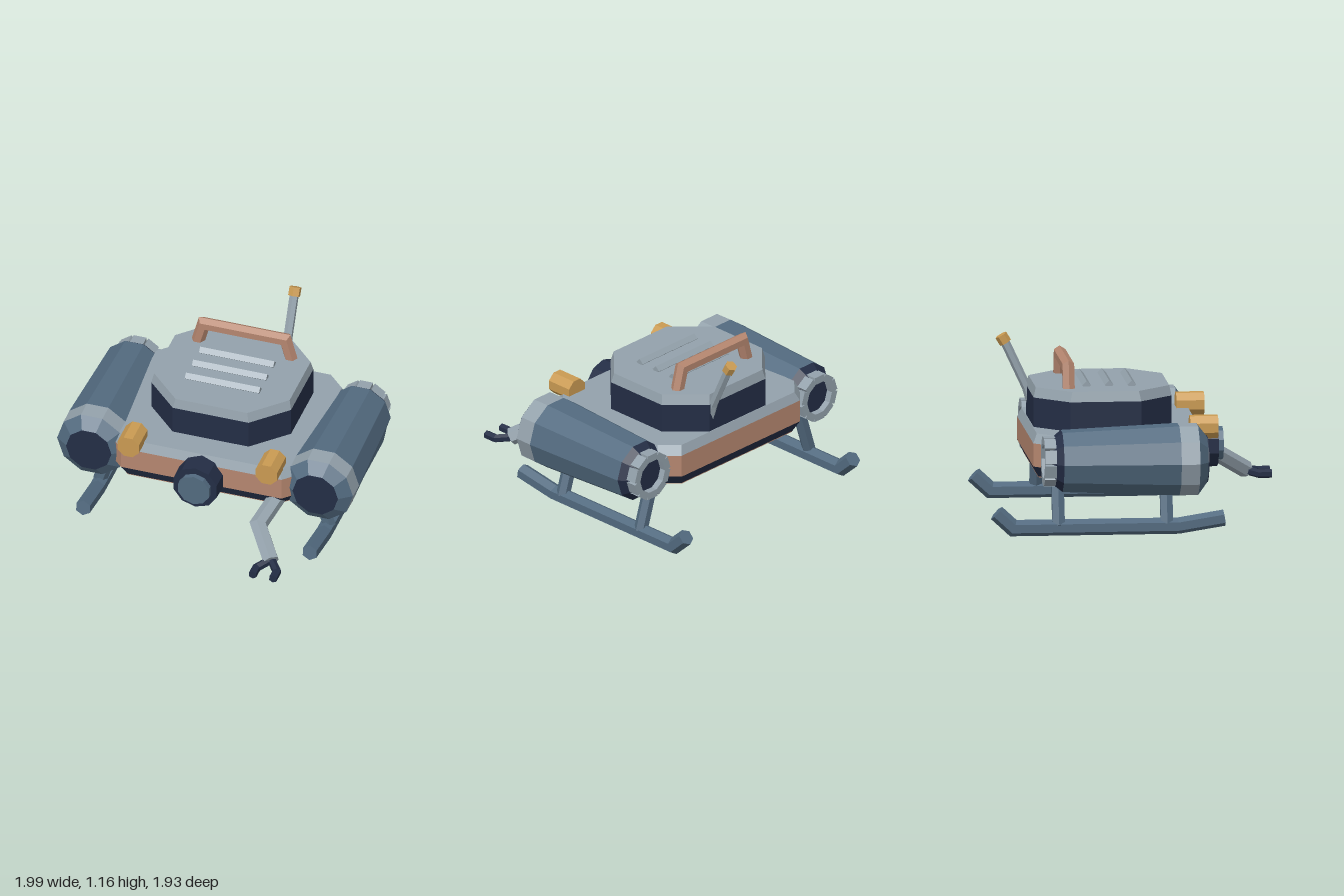
import * as THREE from 'three';

const mat = (name, color) => {
  const m = new THREE.MeshStandardMaterial({ color });
  m.name = name;
  return m;
};
const V = (x, y, z) => new THREE.Vector3(x, y, z);

// Faceted skin over a list of rings, closed at both ends.
// Rings run counter-clockwise when looking back along the direction of travel.
function loft(rings) {
  const pos = [];
  const tri = (...pts) => pts.forEach((p) => pos.push(p.x, p.y, p.z));
  const n = rings[0].length;
  for (let k = 0; k + 1 < rings.length; k++) {
    const a = rings[k], b = rings[k + 1];
    for (let i = 0; i < n; i++) {
      const j = (i + 1) % n;
      tri(a[i], a[j], b[j]);
      tri(a[i], b[j], b[i]);
    }
  }
  const first = rings[0], last = rings[rings.length - 1];
  for (let i = 1; i + 1 < n; i++) {
    tri(first[0], first[i + 1], first[i]);
    tri(last[0], last[i], last[i + 1]);
  }
  const g = new THREE.BufferGeometry();
  g.setAttribute('position', new THREE.Float32BufferAttribute(pos, 3));
  g.computeVertexNormals();
  return g;
}

// Rectangle with cut corners lying at height y
function plate(y, hw, z0, z1, c) {
  return [[hw, z1 - c], [hw, z0 + c], [hw - c, z0], [c - hw, z0],
    [-hw, z0 + c], [-hw, z1 - c], [c - hw, z1], [hw - c, z1]].map(([x, z]) => V(x, y, z));
}

// Prism or cone along +z through [z, radius] stations
function barrel(stations, sides, phase = 0) {
  return loft(stations.map(([z, r]) => Array.from({ length: sides }, (_, i) => {
    const a = phase + (i / sides) * Math.PI * 2;
    return V(r * Math.cos(a), r * Math.sin(a), z);
  })));
}

// Mitred bar along a path; one of its edges faces the ref direction
function bar(points, r, ref = V(0, 1, 0), sides = 6) {
  const p = points.map((q) => V(...q));
  const dirs = p.slice(1).map((q, i) => q.clone().sub(p[i]).normalize());
  const v = ref.clone().addScaledVector(dirs[0], -ref.dot(dirs[0])).normalize();
  const u = v.clone().cross(dirs[0]);
  let off = Array.from({ length: sides }, (_, i) => {
    const a = Math.PI / 2 + (i / sides) * Math.PI * 2;
    return u.clone().multiplyScalar(r * Math.cos(a)).addScaledVector(v, r * Math.sin(a));
  });
  const rings = p.map((q, i) => {
    if (i > 0) {
      const d = dirs[i - 1];
      const t = d.clone().add(dirs[i] || d).normalize();
      off = off.map((o) => o.clone().addScaledVector(d, -o.dot(t) / d.dot(t)));
    }
    return off.map((o) => o.clone().add(q));
  });
  return loft(rings);
}

export function createModel() {
  const root = new THREE.Group();
  root.name = 'hoverSled';
  const grey = mat('pale grey', 0x93a1ab);
  const blue = mat('steel blue', 0x526a7f);
  const navy = mat('dark navy', 0x232d45);
  const copper = mat('copper', 0xb5866f);
  const amber = mat('amber', 0xc99a52);
  const add = (name, geo, material, parent = root) => {
    const m = new THREE.Mesh(geo, material);
    m.name = name;
    parent.add(m);
    return m;
  };

  // Hull: underside, dark sill, copper belt, bevelled deck
  const hull = (y, inset) => plate(y, 0.65 - inset, -0.67 + inset, 0.44 - inset, 0.11);
  add('underside', loft([hull(0.345, 0.035), hull(0.35, 0.035)]), copper);
  add('sill', loft([hull(0.35, 0.035), hull(0.42, 0)]), navy);
  add('belt', loft([hull(0.42, 0), hull(0.57, 0)]), copper);
  add('deck', loft([hull(0.57, 0), hull(0.63, 0.025)]), grey);

  // Cabin with bevelled roof and vent ribs
  const cabin = (y, inset) => plate(y, 0.47 - inset, -0.64 + inset, 0.245 - inset, 0.215);
  add('cabinWindow', loft([cabin(0.62, 0), cabin(0.82, 0)]), navy);
  add('cabinRoof', loft([cabin(0.82, 0), cabin(0.885, 0.014)]), grey);
  for (const z of [-0.3, -0.155, -0.01]) {
    add('roofVent', bar([[-0.25, 0.893, z], [0.25, 0.893, z]], 0.028, V(0, 1, 0), 4), grey);
  }

  // Roof handle
  add('roofHandle', bar([[-0.305, 0.87, -0.42], [-0.265, 1.018, -0.42],
    [0.285, 1.018, -0.42], [0.325, 0.87, -0.42]], 0.043, V(-1, 0, 0)), copper);

  // Exhaust stack
  add('exhaustPipe', bar([[0.22, 0.64, -0.59], [0.222, 0.81, -0.64], [0.225, 1.11, -0.78]], 0.03), grey);
  add('exhaustCap', bar([[0.225, 1.1, -0.775], [0.225, 1.15, -0.805]], 0.04), amber);

  // Nose sensor
  const nose = new THREE.Group();
  nose.name = 'noseSensor';
  nose.position.set(0, 0.468, 0);
  root.add(nose);
  add('sensorHousing', barrel([[0.4, 0.155], [0.56, 0.152]], 10, Math.PI / 2), navy, nose);
  add('sensorLens', barrel([[0.5, 0.112], [0.595, 0.108]], 10, Math.PI / 2), blue, nose);

  for (const s of [-1, 1]) {
    const side = s > 0 ? 'left' : 'right';

    // Headlamp
    add(side + 'Headlamp', barrel([[0.34, 0.078], [0.52, 0.078]], 8, Math.PI / 8), amber)
      .position.set(s * 0.465, 0.65, 0);

    // Engine pod
    const pod = new THREE.Group();
    pod.name = side + 'Engine';
    pod.position.set(s * 0.762, 0.49, 0);
    root.add(pod);
    add('engineTail', barrel([[-0.585, 0.14], [-0.51, 0.201]], 10), navy, pod);
    add('engineShell', barrel([[-0.51, 0.201], [0.24, 0.235]], 10), blue, pod);
    add('engineBand', barrel([[0.24, 0.235], [0.36, 0.233]], 10), grey, pod);
    add('engineLip', barrel([[0.36, 0.233], [0.42, 0.152]], 10), blue, pod);
    add('engineIntake', barrel([[0.42, 0.152], [0.425, 0.152]], 10), navy, pod);

    // Ring of nozzle petals
    for (let i = 0; i < 10; i++) {
      const a = ((i + 0.5) / 10) * Math.PI * 2;
      const petal = add('nozzlePetal', new THREE.BoxGeometry(0.05, 0.086, 0.1), grey, pod);
      petal.position.set(0.132 * Math.cos(a), 0.132 * Math.sin(a), -0.578);
      petal.rotation.z = a;
    }

    // Landing skid and its struts
    const x = s * 0.762;
    add(side + 'Skid', bar([[x, 0.107, 0.535], [x, 0.06, 0.24], [x, 0.06, -0.82], [x, 0.16, -0.928]], 0.053), blue);
    for (const z of [0.165, -0.53]) {
      add(side + 'SkidStrut', bar([[s * 0.772, 0.07, z], [s * 0.65, 0.46, z]], 0.045, V(1, 0, 0)), blue);
    }
  }

  // Manipulator arm with a two-fingered claw
  add('arm', bar([[0.5, 0.39, 0.34], [0.445, 0.32, 0.62], [0.59, 0.195, 0.805]], 0.056), grey);
  for (const x of [0.518, 0.655]) {
    add('clawFinger', bar([[0.587, 0.195, 0.79], [x, 0.178, 0.88], [x, 0.178, 0.962]], 0.028), navy);
  }

  return root;
}
